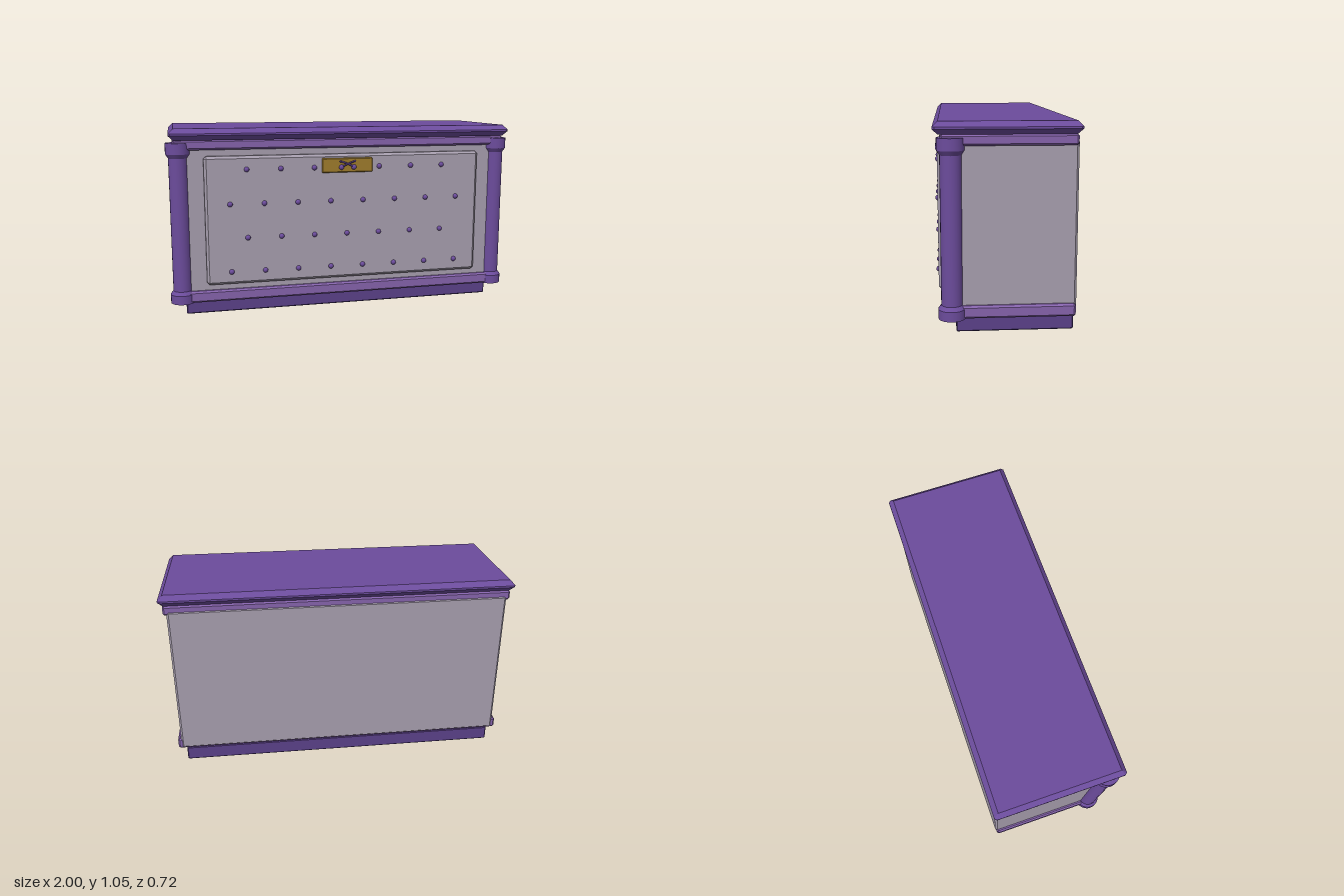
import * as THREE from 'three';
import { ConvexGeometry } from 'three/addons/geometries/ConvexGeometry.js';

const mat = (color) => new THREE.MeshStandardMaterial({ color });
const purple = mat(0x6c4c9c);
const lightPurple = mat(0x8462aa);
const darkPurple = mat(0x5a4088);
const stone = mat(0xa59cac);
const gold = mat(0x9c7a2b);

// Box with chamfered rims (c) and slightly cut vertical corners (k)
function chamferBox(name, x, [y0, y1], [z0, z1], c, material, k = c) {
  const points = [];
  const y = (y1 - y0) / 2, z = (z1 - z0) / 2;
  for (const sx of [-1, 1]) for (const sy of [-1, 1]) for (const sz of [-1, 1]) {
    points.push(
      new THREE.Vector3(sx * (x - c), sy * y, sz * (z - c)),
      new THREE.Vector3(sx * x, sy * (y - c), sz * (z - k)),
      new THREE.Vector3(sx * (x - k), sy * (y - c), sz * z));
  }
  const mesh = new THREE.Mesh(new ConvexGeometry(points), material);
  mesh.name = name;
  mesh.position.set(0, (y0 + y1) / 2, (z0 + z1) / 2);
  return mesh;
}

// Round pillar with flared base and capital
function pillar(name, x) {
  const profile = [
    [0, 0.082], [0.068, 0.082], [0.068, 0.132], [0.053, 0.152],
    [0.053, 0.892], [0.068, 0.915], [0.068, 0.975], [0, 0.975],
  ];
  const group = new THREE.Group();
  group.name = name;
  // each band is its own lathe so the rims stay sharp
  for (let i = 0; i < profile.length - 1; i++) {
    const band = profile.slice(i, i + 2).map(([r, y]) => new THREE.Vector2(r, y));
    const mesh = new THREE.Mesh(new THREE.LatheGeometry(band, 24), purple);
    mesh.name = 'pillarBand';
    group.add(mesh);
  }
  group.position.set(x, 0, 0.272);
  return group;
}

export function createModel() {
  const model = new THREE.Group();

  // Carcass, plinth, mouldings and top
  model.add(
    chamferBox('plinth', 0.915, [0, 0.085], [-0.337, 0.252], 0.006, darkPurple),
    chamferBox('body', 0.943, [0.088, 0.962], [-0.347, 0.3], 0.012, stone),
    chamferBox('bottomMoulding', 0.962, [0.083, 0.148], [-0.342, 0.322], 0.01, lightPurple),
    chamferBox('topMoulding', 0.962, [0.936, 0.992], [-0.342, 0.322], 0.01, lightPurple),
    chamferBox('top', 0.982, [0.99, 1.054], [-0.36, 0.358], 0.027, purple, 0.012),
    chamferBox('frontPanel', 0.8, [0.183, 0.902], [0.29, 0.338], 0.014, stone),
    pillar('leftPillar', 0.932),
    pillar('rightPillar', -0.932));

  // Staggered rows of studs, leaving room for the plate
  const studs = new THREE.Group();
  studs.name = 'studs';
  const studGeometry = new THREE.SphereGeometry(0.015, 12, 8);
  [0.828, 0.637, 0.446, 0.255].forEach((y, row) => {
    const count = row % 2 ? 8 : 7;
    for (let i = 0; i < count; i++) {
      const x = (i - (count - 1) / 2) * 0.1895;
      if (row === 0 && Math.abs(x) < 0.1) continue;
      const stud = new THREE.Mesh(studGeometry, purple);
      stud.name = 'stud';
      stud.position.set(x, y, 0.337);
      studs.add(stud);
    }
  });
  model.add(studs);

  // Gold plate with a crossed ornament
  model.add(chamferBox('plate', 0.147, [0.798, 0.88], [0.33, 0.351], 0.005, gold));
  const ornament = new THREE.Group();
  ornament.name = 'crossedOrnament';
  for (const s of [-1, 1]) {
    const curve = new THREE.QuadraticBezierCurve3(
      new THREE.Vector3(s * 0.042, 0.862, 0.354),
      new THREE.Vector3(0, 0.85, 0.359),
      new THREE.Vector3(-s * 0.036, 0.828, 0.354));
    const bar = new THREE.Mesh(new THREE.TubeGeometry(curve, 8, 0.005, 8), darkPurple);
    bar.name = 'ornamentBar';
    const knob = new THREE.Mesh(new THREE.SphereGeometry(0.015, 12, 8), purple);
    knob.name = 'ornamentKnob';
    knob.scale.z = 0.75;
    knob.position.set(s * 0.036, 0.828, 0.352);
    const tip = new THREE.Mesh(new THREE.SphereGeometry(0.006, 8, 6), darkPurple);
    tip.name = 'ornamentTip';
    tip.position.set(s * 0.042, 0.862, 0.354);
    ornament.add(bar, knob, tip);
  }
  model.add(ornament);

  return model;
}
